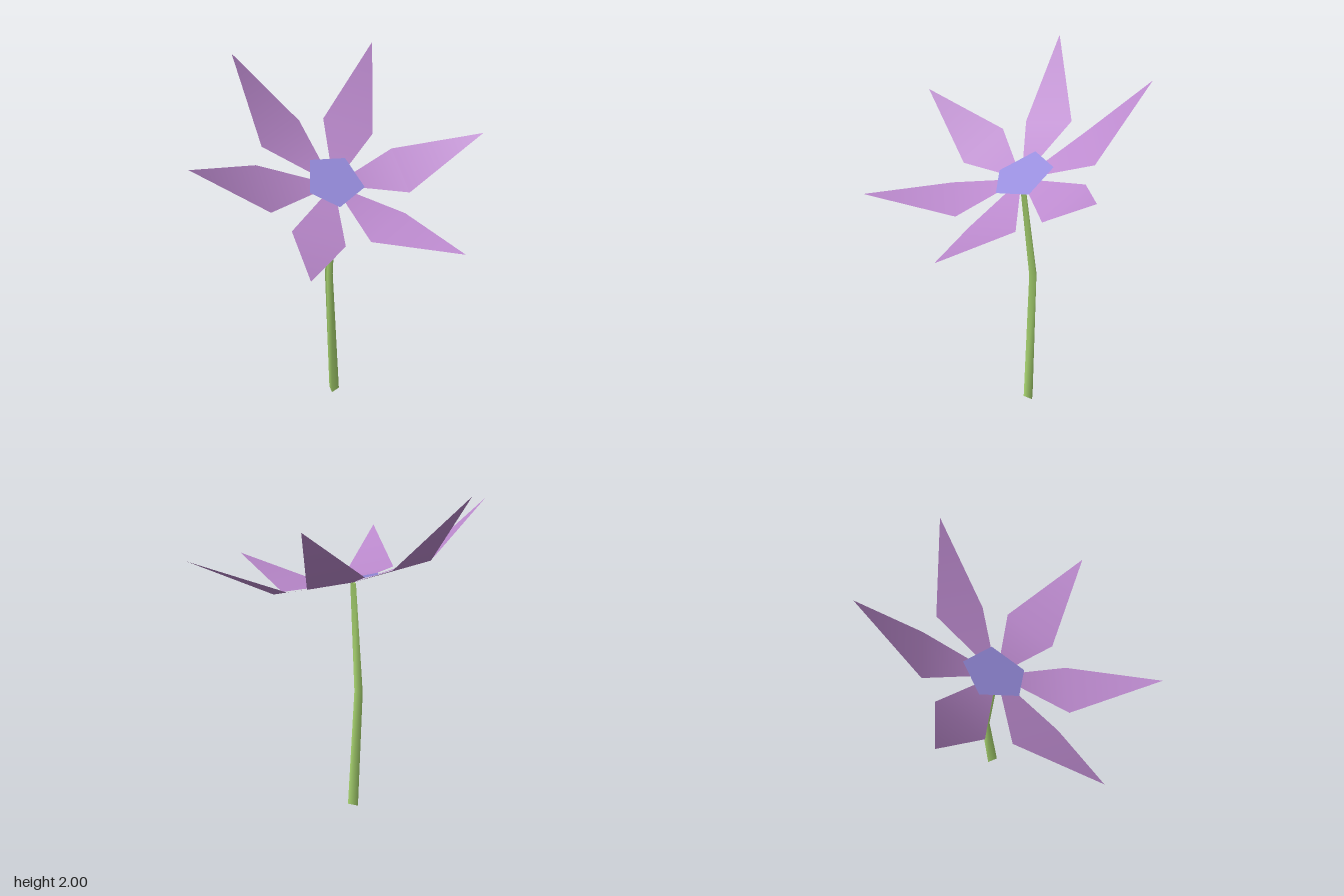
import * as THREE from 'three';

const petalMat = new THREE.MeshStandardMaterial({ color: 0xbc8ace, side: THREE.DoubleSide });
petalMat.name = 'petal purple';
const centreMat = new THREE.MeshStandardMaterial({ color: 0x968cdc, side: THREE.DoubleSide });
centreMat.name = 'centre violet';
const stemMat = new THREE.MeshStandardMaterial({ color: 0xaedb74, side: THREE.DoubleSide });
stemMat.name = 'stem green';

// Smooth indexed mesh from a few points
function surface(name, points, index, material) {
  const geo = new THREE.BufferGeometry();
  geo.setAttribute('position', new THREE.Float32BufferAttribute(points.flat(), 3));
  geo.setIndex(index);
  geo.computeVertexNormals();
  const mesh = new THREE.Mesh(geo, material);
  mesh.name = name;
  return mesh;
}

// Three-sided tapering tube, swept through the rings with its flat side forward
function makeStem() {
  const rings = [
    { c: [0.075, 0, -0.172], r: 0.034 },
    { c: [0.072, 0.8, -0.202], r: 0.026 },
    { c: [0.042, 1.4, -0.125], r: 0.017 },
  ];
  const points = [], index = [];
  rings.forEach(({ c, r }, i) => {
    for (let k = 0; k < 3; k++) {
      const a = Math.PI + (k * 2 * Math.PI) / 3; // first corner points back
      points.push([c[0] + r * Math.sin(a), c[1], c[2] + r * Math.cos(a)]);
      if (i === 0) continue;
      const n = (k + 1) % 3, lo = (i - 1) * 3, hi = i * 3;
      index.push(lo + k, lo + n, hi + n, lo + k, hi + n, hi + k);
    }
  });
  return surface('stem', points, index, stemMat);
}

export function createModel() {
  const group = new THREE.Group();
  group.name = 'flower';
  group.add(makeStem());

  // Petals: a kite folded across its widest line (right corner, left corner, tip)
  const heart = [0.038, 1.4, -0.12];
  const petals = {
    backPetal: [[0.125, 1.63, -0.46], [-0.155, 1.575, -0.45], [-0.11, 2, -0.7]],
    backLeftPetal: [[0.42, 1.54, -0.2], [0.25, 1.62, -0.405], [0.61, 1.96, -0.385]],
    frontLeftPetal: [[0.335, 1.34, 0.145], [0.44, 1.485, -0.08], [0.72, 1.605, 0.31]],
    frontPetal: [[-0.05, 1.235, 0.225], [0.225, 1.285, 0.21], [0.105, 1.29, 0.695]],
    frontRightPetal: [[-0.345, 1.315, -0.035], [-0.175, 1.24, 0.17], [-0.615, 1.33, 0.375]],
    backRightPetal: [[-0.26, 1.53, -0.38], [-0.365, 1.38, -0.16], [-0.72, 1.685, -0.32]],
  };
  for (const [name, corners] of Object.entries(petals)) {
    group.add(surface(name, [heart, ...corners], [0, 1, 2, 1, 3, 2], petalMat));
  }

  // Five-sided centre lying in the tilted plane of the bloom
  const outline = [[0.02, -0.275], [-0.115, -0.14], [-0.04, 0], [0.155, -0.01], [0.19, -0.185]];
  const disc = [[0.038, -0.12], ...outline].map(([x, z]) =>
    [x, 1.42 + 0.17 * (x - 0.038) - 0.52 * (z + 0.12), z]);
  const fan = outline.flatMap((_, i) => [0, i + 1, ((i + 1) % 5) + 1]);
  group.add(surface('flowerCentre', disc, fan, centreMat));

  return group;
}
